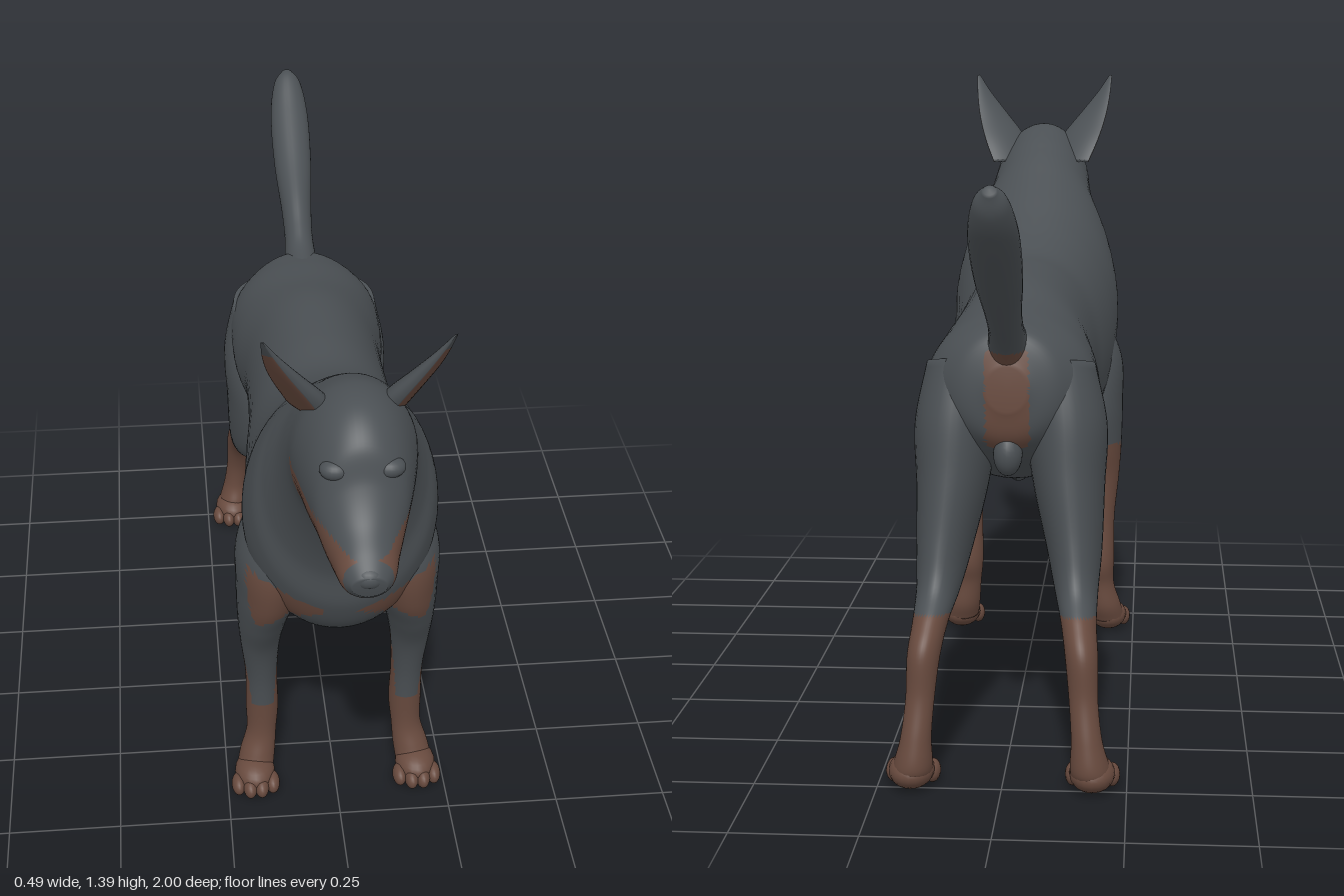
import * as THREE from 'three';

const coat = new THREE.MeshStandardMaterial({ color: 0x4b5054 });
coat.name = 'slateCoat';
const tan = new THREE.MeshStandardMaterial({ color: 0x684a3e });
tan.name = 'tanMarkings';

// Where the tan markings lie (x is the distance from the middle plane)
function isTan(x, y, z) {
  if (z > 0.7) return y < 1.1 && z < 0.972 && y < 1.035 + (0.97 - z) * 0.22;  // muzzle and cheeks
  if (z > 0.48 && y > 0.5) return Math.abs(y - 0.607) < (x - 0.03) * 0.5;      // chest patches
  if (z > 0.2) return y < 0.22 || (y < 0.49 && z < 0.362);                     // front legs
  if (z < -0.53 && y > 0.66) return x < 0.045 && y < 0.86;                     // under the tail
  return z < -0.4 && y < 0.335 + (z + 0.66) * -0.2;                            // hind legs
}

// Smooth skin over rings [z1, y1, z2, y2, halfWidth, xCentre]; the two points are
// the ends of each ring's diameter in the side profile.
function loft(name, rings, { side = 1, radial = 40, steps = 8, dent = 1, skew = 0, marked = isTan } = {}) {
  const curve = (f) => new THREE.CatmullRomCurve3(rings.map(f), false, 'catmullrom', 0.5);
  const first = curve((r) => new THREE.Vector3(0, r[1], r[0]));
  const second = curve((r) => new THREE.Vector3(0, r[3], r[2]));
  const span = curve((r) => new THREE.Vector3(r[4], r[5] || 0, 0));
  const count = (rings.length - 1) * steps;
  const pos = [];
  for (let i = -1; i <= count + 1; i++) {
    const u = Math.min(Math.max(i / count, 0), 1);
    const open = i < 0 || i > count ? 0 : 1;      // closed ends
    const p = first.getPoint(u), q = second.getPoint(u), s = span.getPoint(u);
    const mid = p.clone().add(q).multiplyScalar(0.5);
    const half = p.sub(q).multiplyScalar(0.5 * open);
    for (let j = 0; j < radial; j++) {
      const a = (j / radial) * Math.PI * 2;
      const sn = Math.sin(a), cs = Math.cos(a);
      const x = s.y + open * s.x * (sn * (sn > 0 ? dent : 1) - skew * cs);
      pos.push(side * x, mid.y + half.y * cs, mid.z + half.z * cs);
    }
  }
  const faces = [[], []];
  const add = (a, b, c, j, i) => {
    const mean = (k) => (pos[a * 3 + k] + pos[b * 3 + k] + pos[c * 3 + k]) / 3;
    const list = faces[marked(Math.abs(mean(0)), mean(1), mean(2), j / radial, i / count) ? 1 : 0];
    if (side > 0) list.push(a, b, c); else list.push(a, c, b);
  };
  for (let i = 0; i < count + 2; i++) {
    for (let j = 0; j < radial; j++) {
      const a = i * radial + j, b = i * radial + (j + 1) % radial;
      add(a, a + radial, b, j, i);
      add(b, a + radial, b + radial, j, i);
    }
  }
  const geo = new THREE.BufferGeometry();
  geo.setAttribute('position', new THREE.Float32BufferAttribute(pos, 3));
  geo.setIndex([...faces[0], ...faces[1]]);
  geo.addGroup(0, faces[0].length, 0);
  geo.addGroup(faces[0].length, faces[1].length, 1);
  geo.computeVertexNormals();
  const mesh = new THREE.Mesh(geo, [coat, tan]);
  mesh.name = name;
  return mesh;
}

function ball(name, material, x, y, z, rx, ry, rz, tilt = 0) {
  const mesh = new THREE.Mesh(new THREE.SphereGeometry(1, 20, 14), material);
  mesh.name = name;
  mesh.position.set(x, y, z);
  mesh.scale.set(rx, ry, rz);
  mesh.rotation.x = tilt;
  return mesh;
}

// Paw with four toes
function paw(name, x, z, side) {
  const group = new THREE.Group();
  group.name = name;
  group.add(ball('pawPad', tan, side * x, 0.036, z, 0.046, 0.036, 0.06));
  for (let i = 0; i < 4; i++) {
    const off = (i - 1.5) * 0.026;
    const reach = i === 1 || i === 2 ? 0.044 : 0.03;
    group.add(ball('toe', tan, side * (x + off), 0.023, z + reach, 0.0165, 0.023, 0.031));
  }
  return group;
}

export function createModel() {
  const dog = new THREE.Group();
  dog.name = 'dog';

  // Rump, trunk, neck, skull and muzzle in one skin
  dog.add(loft('body', [
    [-0.595, 0.83, -0.6, 0.74, 0.04],
    [-0.565, 0.9, -0.58, 0.67, 0.115],
    [-0.48, 0.92, -0.5, 0.61, 0.175],
    [-0.35, 0.937, -0.36, 0.55, 0.182],
    [-0.2, 0.965, -0.2, 0.55, 0.163],
    [0, 0.977, 0, 0.535, 0.165],
    [0.15, 0.98, 0.12, 0.49, 0.18],
    [0.26, 1.01, 0.25, 0.465, 0.19],
    [0.34, 1.05, 0.4, 0.475, 0.2],
    [0.42, 1.1, 0.5, 0.53, 0.205],
    [0.49, 1.145, 0.555, 0.62, 0.19],
    [0.54, 1.178, 0.575, 0.72, 0.165],
    [0.585, 1.205, 0.62, 0.82, 0.142],
    [0.64, 1.235, 0.68, 0.91, 0.127],
    [0.72, 1.262, 0.74, 0.945, 0.12],
    [0.8, 1.256, 0.79, 0.935, 0.107],
    [0.86, 1.21, 0.83, 0.935, 0.092],
    [0.885, 1.14, 0.87, 0.93, 0.078],
    [0.92, 1.085, 0.915, 0.933, 0.064],
    [0.965, 1.045, 0.96, 0.945, 0.052],
    [0.997, 1.012, 0.985, 0.965, 0.032],
  ], { radial: 56, steps: 9 }));

  // Raised tail, tip to root
  dog.add(loft('tail', [
    [-0.985, 1.222, -1, 1.205, 0.012],
    [-0.955, 1.212, -0.985, 1.155, 0.035],
    [-0.88, 1.155, -0.93, 1.09, 0.048],
    [-0.77, 1.075, -0.82, 1, 0.047],
    [-0.67, 1.01, -0.71, 0.925, 0.038],
    [-0.6, 0.96, -0.635, 0.875, 0.035],
    [-0.54, 0.927, -0.59, 0.83, 0.04],
    [-0.46, 0.915, -0.55, 0.78, 0.05],
  ], { radial: 28 }));

  dog.add(ball('nose', coat, 0, 1.003, 0.972, 0.031, 0.024, 0.027));
  dog.add(ball('bellySheath', coat, 0, 0.55, -0.245, 0.026, 0.03, 0.062, 0.25));
  dog.add(ball('groin', coat, 0, 0.645, -0.56, 0.03, 0.045, 0.035));

  for (const side of [1, -1]) {
    const label = side > 0 ? 'left' : 'right';

    dog.add(loft(label + 'FrontLeg', [
      [0.49, 0.82, 0.33, 0.82, 0.045, 0.12],
      [0.525, 0.69, 0.28, 0.71, 0.076, 0.14],
      [0.51, 0.58, 0.26, 0.59, 0.07, 0.15],
      [0.465, 0.49, 0.28, 0.48, 0.055, 0.163],
      [0.415, 0.4, 0.298, 0.4, 0.044, 0.168],
      [0.385, 0.3, 0.296, 0.3, 0.036, 0.166],
      [0.372, 0.2, 0.286, 0.19, 0.037, 0.165],
      [0.37, 0.13, 0.299, 0.13, 0.034, 0.168],
      [0.385, 0.08, 0.303, 0.07, 0.04, 0.178],
      [0.4, 0.045, 0.318, 0.03, 0.042, 0.185],
    ], { side }));
    dog.add(paw(label + 'FrontPaw', 0.187, 0.376, side));

    dog.add(loft(label + 'HindLeg', [
      [-0.37, 0.8, -0.55, 0.84, 0.075, 0.1],
      [-0.335, 0.66, -0.585, 0.72, 0.086, 0.115],
      [-0.345, 0.53, -0.605, 0.6, 0.075, 0.122],
      [-0.4, 0.41, -0.63, 0.47, 0.058, 0.135],
      [-0.5, 0.345, -0.66, 0.39, 0.045, 0.142],
      [-0.6, 0.305, -0.72, 0.335, 0.036, 0.15],
      [-0.67, 0.25, -0.762, 0.28, 0.033, 0.158],
      [-0.708, 0.18, -0.77, 0.19, 0.029, 0.163],
      [-0.718, 0.11, -0.79, 0.11, 0.031, 0.17],
      [-0.705, 0.065, -0.8, 0.05, 0.039, 0.176],
      [-0.7, 0.04, -0.785, 0.022, 0.042, 0.18],
    ], { side }));
    dog.add(paw(label + 'HindPaw', 0.181, -0.74, side));

    // Pricked ear with a hollow tan face turned outward, tip to root
    dog.add(loft(label + 'Ear', [
      [0.788, 1.39, 0.78, 1.388, 0.004, 0.176],
      [0.778, 1.35, 0.735, 1.335, 0.018, 0.163],
      [0.768, 1.3, 0.69, 1.28, 0.036, 0.142],
      [0.755, 1.245, 0.645, 1.225, 0.052, 0.115],
      [0.735, 1.19, 0.61, 1.17, 0.058, 0.088],
    ], {
      side, radial: 32, dent: 0.25, skew: 0.55,
      marked: (x, y, z, turn, along) => turn > 0.02 && turn < 0.44 && along > 0.22,
    }));

    // Brow and closed eyelid
    dog.add(ball(label + 'Brow', coat, side * 0.05, 1.158, 0.852, 0.03, 0.02, 0.025));
    dog.add(ball(label + 'Eyelid', coat, side * 0.057, 1.122, 0.852, 0.021, 0.013, 0.02));
  }
  return dog;
}
